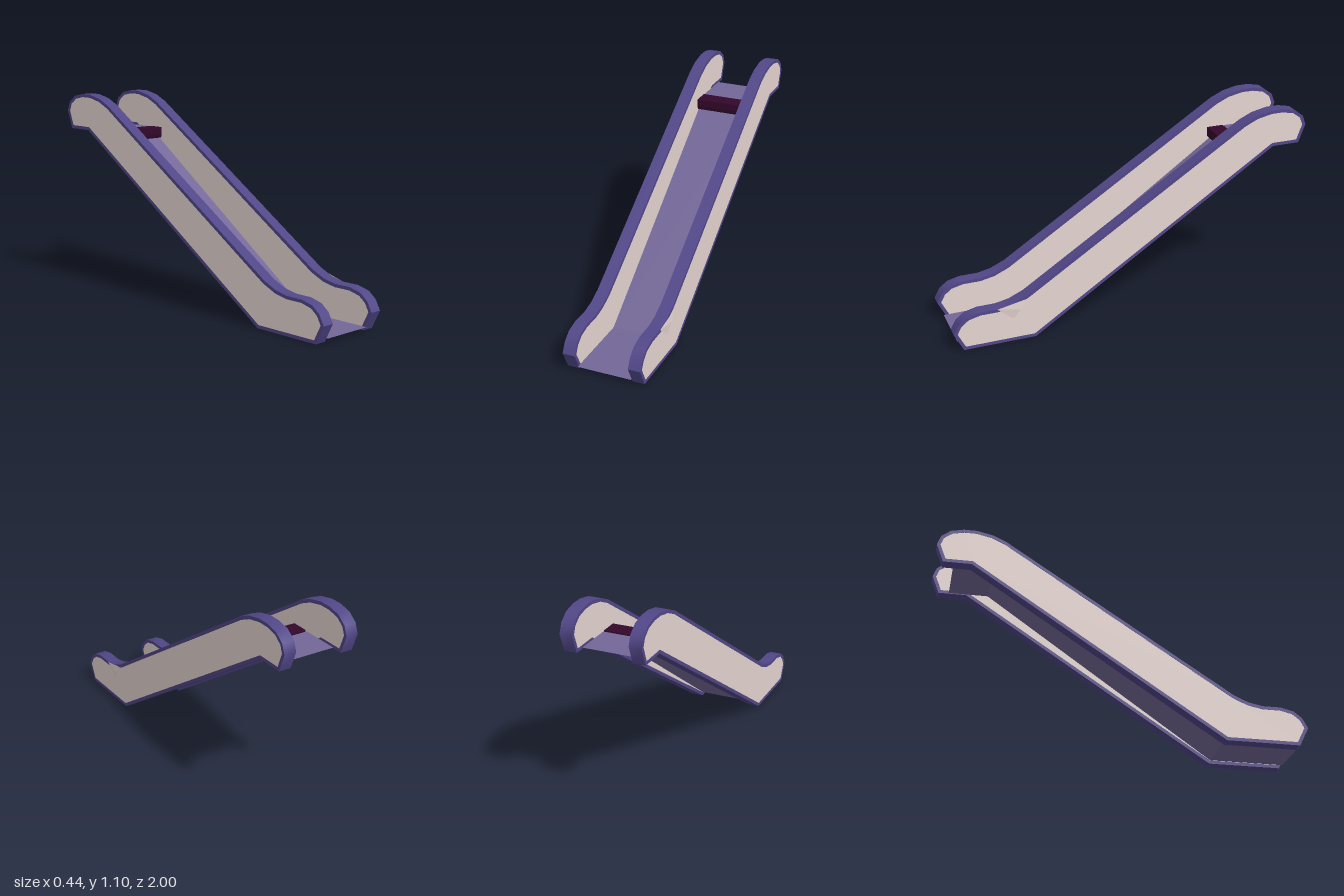
import * as THREE from 'three';
import { toCreasedNormals } from 'three/addons/utils/BufferGeometryUtils.js';

const mat = (name, color, side = THREE.FrontSide) => {
  const m = new THREE.MeshStandardMaterial({ color, side });
  m.name = name;
  return m;
};

// Side wall outline as [z, y], counter-clockwise
const OUTLINE = [
  [0.95, 0], [1.0, 0.1], [0.97, 0.155], [0.925, 0.19], [0.855, 0.207], [0.755, 0.207],
  [0.68, 0.222], [0.6, 0.257], [-0.63, 1.048], [-0.705, 1.082], [-0.79, 1.1], [-0.86, 1.1],
  [-0.93, 1.085], [-0.98, 1.047], [-1.0, 0.995], [-0.962, 0.895], [-0.81, 0.895], [0.555, 0],
].map(([z, y]) => new THREE.Vector2(z, y));

// Moves every edge of a counter-clockwise outline inwards by d
function inset(points, d) {
  const n = points.length;
  return points.map((p, i) => {
    const a = p.clone().sub(points[(i + n - 1) % n]).normalize();
    const b = points[(i + 1) % n].clone().sub(p).normalize();
    const na = new THREE.Vector2(-a.y, a.x);
    const nb = new THREE.Vector2(-b.y, b.x);
    const miter = na.clone().add(nb).normalize();
    return p.clone().addScaledVector(miter, d / miter.dot(na));
  });
}

// Extrudes a [z, y] shape across x, centred on x = 0, smooth over shallow bends
function across(shape, width) {
  const geometry = new THREE.ExtrudeGeometry(shape, { depth: width, bevelEnabled: false, curveSegments: 6 })
    .translate(0, 0, -width / 2)
    .rotateY(-Math.PI / 2);
  return toCreasedNormals(geometry, 0.75);
}

// Thin folded sheet through [z, y] points, from x0 to x1
function sheet(fold, x0, x1) {
  const p = [];
  for (let i = 0; i < fold.length - 1; i++) {
    const [za, ya] = fold[i], [zb, yb] = fold[i + 1];
    p.push(x0, ya, za, x1, ya, za, x1, yb, zb, x0, ya, za, x1, yb, zb, x0, yb, zb);
  }
  return surface(p);
}

function surface(positions) {
  const geometry = new THREE.BufferGeometry();
  geometry.setAttribute('position', new THREE.Float32BufferAttribute(positions, 3));
  geometry.computeVertexNormals();
  return geometry;
}

export function createModel() {
  const root = new THREE.Group();
  root.name = 'escalator';
  const rimMat = mat('handrail violet', 0x514788);
  const panelMat = mat('panel beige', 0xe6d6d2, THREE.DoubleSide);
  const bedMat = mat('ramp lilac', 0x736797, THREE.DoubleSide);
  const lipMat = mat('lip maroon', 0x34072c);

  const add = (name, geometry, material, parent = root) => {
    const mesh = new THREE.Mesh(geometry, material);
    mesh.name = name;
    parent.add(mesh);
    return mesh;
  };

  // Side walls: a handrail band running all round a barely recessed panel
  const inner = inset(OUTLINE, 0.018);
  const rimShape = new THREE.Shape(OUTLINE);
  rimShape.holes.push(new THREE.Path(inner));
  const rimGeo = across(rimShape, 0.067);
  const panelGeo = across(new THREE.Shape(inner), 0.065);
  for (const [name, x] of [['leftSide', 0.171], ['rightSide', -0.19]]) {
    const side = new THREE.Group();
    side.name = name;
    side.position.x = x;
    add('handrail', rimGeo, rimMat, side);
    add('sidePanel', panelGeo, panelMat, side);
    root.add(side);
  }

  // Ramp: lower floor, slope and flat upper landing as one folded sheet
  const x0 = -0.157, x1 = 0.138;
  const fold = [[0.97, 0.02], [0.56, 0.02], [-0.69, 0.9], [-0.905, 0.9]];
  add('ramp', sheet(fold, x0, x1), bedMat);

  // Dark lip resting on the top of the slope, rounded under its front edge
  const lip = new THREE.Shape();
  lip.moveTo(-0.68, 0.903);
  lip.lineTo(-0.68, 0.895);
  lip.lineTo(-0.605, 0.842);
  lip.quadraticCurveTo(-0.585, 0.835, -0.585, 0.87);
  lip.lineTo(-0.585, 0.903);
  add('topLip', across(lip, x1 - x0), lipMat).position.x = (x0 + x1) / 2;

  // Small flared corner on the outer left panel, at the bend
  const a = [0.205, 0.205, 0.76], b = [0.214, 0.243, 0.6];
  const c = [0.203, 0.13, 0.675], d = [0.214, 0.187, 0.637];
  add('panelFlare', surface([...a, ...c, ...d, ...a, ...d, ...b]), panelMat);

  return root;
}
